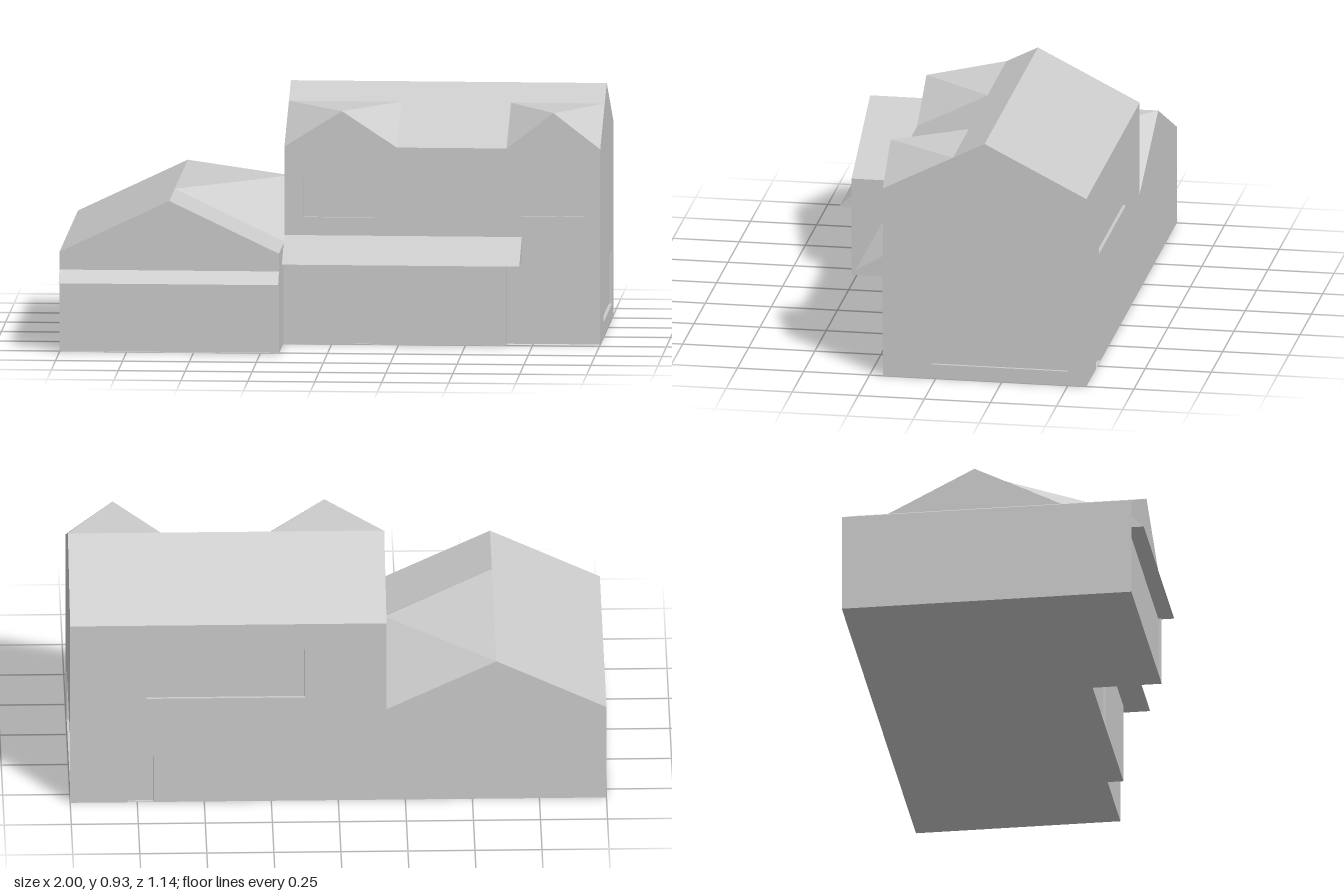
import * as THREE from 'three';

const material = new THREE.MeshStandardMaterial({ color: 0xcccccc, flatShading: true, side: THREE.DoubleSide });

// Main dimensions
const L = -1, M = -0.18, R = 1;               // left end, party wall, right end
const BACK = -0.57, RIDGE = -0.185, FRONT = 0.2, GARAGE = 0.52;
const EAVE = 0.735, TOP = 0.93, DORMER = 0.87, DORMER_BACK = -0.066;
const LOW_EAVE = 0.377, LOW_TOP = 0.572, GX = (L + M) / 2;
const RECESS = 0.012;

function add(parent, name, geometry) {
  const mesh = new THREE.Mesh(geometry, material);
  mesh.name = name;
  parent.add(mesh);
  return mesh;
}

// Flat polygon as a triangle fan
function face(parent, name, ...p) {
  const pos = [];
  for (let i = 1; i < p.length - 1; i++) pos.push(...p[0], ...p[i], ...p[i + 1]);
  const geometry = new THREE.BufferGeometry();
  geometry.setAttribute('position', new THREE.Float32BufferAttribute(pos, 3));
  geometry.computeVertexNormals();
  add(parent, name, geometry);
}

// Wall in its own xy plane (outside is +z) with shallow recessed openings [name, x0, y0, x1, y1]
function wall(parent, name, outline, openings, position, turn = 0) {
  const group = new THREE.Group();
  group.name = name;
  const shape = new THREE.Shape(outline.map(([x, y]) => new THREE.Vector2(x, y)));
  for (const [label, x0, y0, x1, y1] of openings) {
    shape.holes.push(new THREE.Path([[x0, y0], [x0, y1], [x1, y1], [x1, y0]].map(([x, y]) => new THREE.Vector2(x, y))));
    const box = new THREE.BoxGeometry(x1 - x0, y1 - y0, RECESS);
    const index = Array.from(box.index.array);
    index.splice(24, 6);                       // leave the outer side open
    for (let i = 0; i < index.length; i += 3) [index[i], index[i + 1]] = [index[i + 1], index[i]];
    box.setIndex(index);
    const n = box.attributes.normal;           // the reveals face inward
    for (let i = 0; i < n.array.length; i++) n.array[i] *= -1;
    box.translate((x0 + x1) / 2, (y0 + y1) / 2, -RECESS / 2);
    add(group, label, box);
  }
  add(group, name + 'Panel', new THREE.ShapeGeometry(shape));
  group.position.set(...position);
  group.rotation.y = turn;
  parent.add(group);
}

// Cross-section in (z, y) run along x
function prism(parent, name, section, x0, x1) {
  const shape = new THREE.Shape(section.map(([z, y]) => new THREE.Vector2(-z, y)));
  const geometry = new THREE.ExtrudeGeometry(shape, { depth: x1 - x0, bevelEnabled: false });
  geometry.rotateY(Math.PI / 2).translate(x0, 0, 0);
  add(parent, name, geometry);
}

// Gable side that folds from its front slope up to a level ridge behind
function foldedSide(parent, name, ridgeX, eaveX, ridgeY, eaveY, frontZ, backZ) {
  const peak = [ridgeX, ridgeY, frontZ], corner = [eaveX, ridgeY, backZ];
  face(parent, name + 'Slope', peak, [eaveX, eaveY, frontZ], corner);
  face(parent, name + 'Top', peak, corner, [ridgeX, ridgeY, backZ]);
}

export function createModel() {
  const house = new THREE.Group();
  house.name = 'house';

  // Two-storey block
  const main = new THREE.Group();
  main.name = 'mainBlock';
  house.add(main);
  wall(main, 'frontWall',
    [[M, 0], [R, 0], [R, EAVE], [0.825, DORMER], [0.65, EAVE], [0.24, EAVE], [0.035, DORMER], [M, EAVE]],
    [['wideFrontWindow', -0.11, 0.47, 0.175, 0.62], ['smallFrontWindow', 0.705, 0.48, 0.94, 0.61]],
    [0, 0, FRONT]);
  wall(main, 'backWall', [[-R, 0], [-M, 0], [-M, EAVE], [-R, EAVE]],
    [['backWindow', -0.715, 0.43, -0.125, 0.63], ['backDoor', -0.785, 0.002, -0.69, 0.19]],
    [0, 0, BACK], Math.PI);
  const gable = [[-FRONT, 0], [-BACK, 0], [-BACK, EAVE], [-RIDGE, TOP], [-FRONT, EAVE]];
  wall(main, 'sideWall', gable, [['sideWindow', -0.015, 0.055, 0.5, 0.262]], [R, 0, 0], Math.PI / 2);
  wall(main, 'partyWall', gable.map(([x, y]) => [-x, y]), [], [M, 0, 0], -Math.PI / 2);
  face(main, 'frontRoof', [M, EAVE, FRONT], [R, EAVE, FRONT], [R, TOP, RIDGE], [M, TOP, RIDGE]);
  face(main, 'backRoof', [R, EAVE, BACK], [M, EAVE, BACK], [M, TOP, RIDGE], [R, TOP, RIDGE]);
  face(main, 'mainFloor', [M, 0, BACK], [R, 0, BACK], [R, 0, FRONT], [M, 0, FRONT]);

  // Dormer gables
  for (const [x0, xm, x1] of [[M, 0.035, 0.24], [0.65, 0.825, R]])
    for (const x of [x0, x1]) foldedSide(main, 'dormer', xm, x, DORMER, EAVE, FRONT, DORMER_BACK);

  // Porch: shallow bay with a door under a lean-to roof
  const porch = new THREE.Group();
  porch.name = 'porch';
  house.add(porch);
  const bayX = 0.652, bayZ = 0.26, bayY = 0.308;
  wall(porch, 'porchWall', [[M, 0], [bayX, 0], [bayX, bayY], [M, bayY]],
    [['frontDoor', 0.085, 0.002, 0.182, 0.19]], [0, 0, bayZ]);
  for (const x of [M, bayX])
    face(porch, 'porchSide', [x, 0, bayZ], [x, 0, FRONT], [x, bayY, FRONT], [x, bayY, bayZ]);
  face(porch, 'porchFloor', [M, 0, FRONT], [bayX, 0, FRONT], [bayX, 0, bayZ], [M, 0, bayZ]);
  prism(porch, 'porchRoof', [[FRONT, bayY], [FRONT, 0.402], [0.352, 0.312], [0.352, bayY]], M, 0.707);

  // Garage wing
  const garage = new THREE.Group();
  garage.name = 'garage';
  house.add(garage);
  const low = [[L, 0], [M, 0], [M, LOW_EAVE], [GX, LOW_TOP], [L, LOW_EAVE]];
  wall(garage, 'garageFrontWall', low, [['garageDoor', -0.993, 0.002, -0.187, 0.265]], [0, 0, GARAGE]);
  wall(garage, 'garageBackWall', low.map(([x, y]) => [-x, y]), [], [0, 0, BACK], Math.PI);
  for (const [x, z] of [[L, BACK], [M, FRONT]])
    face(garage, 'garageSideWall', [x, 0, z], [x, 0, GARAGE], [x, LOW_EAVE, GARAGE], [x, LOW_EAVE, z]);
  for (const x of [L, M])
    face(garage, 'garageRoof', [x, LOW_EAVE, BACK], [x, LOW_EAVE, GARAGE], [GX, LOW_TOP, GARAGE], [GX, LOW_TOP, BACK]);
  for (const z of [FRONT, BACK]) foldedSide(garage, 'crossRoof', GX, M, LOW_TOP, LOW_EAVE, z, RIDGE);
  face(garage, 'garageFloor', [L, 0, BACK], [M, 0, BACK], [M, 0, GARAGE], [L, 0, GARAGE]);
  prism(garage, 'garageCanopy', [[GARAGE, 0.265], [GARAGE, 0.31], [0.567, 0.265]], L, M);

  return house;
}
